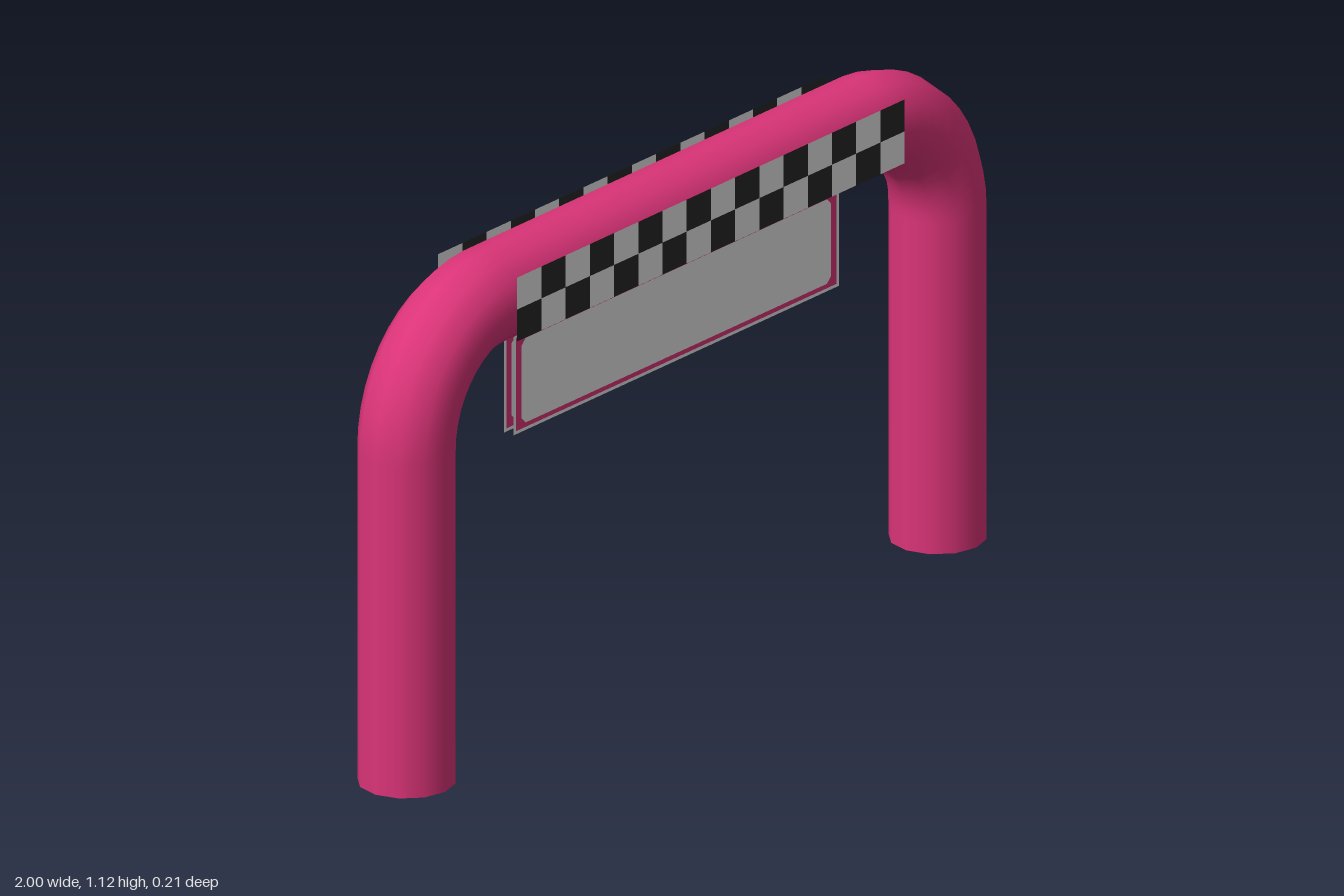
import * as THREE from 'three';
import { mergeGeometries } from 'three/addons/utils/BufferGeometryUtils.js';

const TUBE_R = 0.105, LEG_X = 0.895, BEAM_Y = 1.02, BEND = 0.265;

const material = (name, color) =>
  new THREE.MeshStandardMaterial({ name, color, side: THREE.DoubleSide });

const mesh = (name, geometry, mat) => {
  const m = new THREE.Mesh(geometry, mat);
  m.name = name;
  return m;
};

// Rectangle outline with optionally cut corners, centred on the origin
const rectPoints = (w, h, cut = 0) => {
  const x = w / 2, y = h / 2;
  if (!cut) return [[-x, -y], [x, -y], [x, y], [-x, y]].map(p => new THREE.Vector2(...p));
  return [[cut - x, -y], [x - cut, -y], [x, cut - y], [x, y - cut],
    [x - cut, y], [cut - x, y], [-x, y - cut], [-x, cut - y]].map(p => new THREE.Vector2(...p));
};

const flatRing = (outer, inner) => {
  const shape = new THREE.Shape(outer);
  if (inner) shape.holes.push(new THREE.Path(inner));
  return new THREE.ShapeGeometry(shape);
};

// Leg, bend, beam, bend, leg as one centre line
function archPath() {
  const v = (x, y) => new THREE.Vector3(x, y, 0);
  const low = BEAM_Y - BEND, inX = LEG_X - BEND, k = BEND * 0.5523;
  const path = new THREE.CurvePath();
  path.add(new THREE.LineCurve3(v(-LEG_X, 0), v(-LEG_X, low)));
  path.add(new THREE.CubicBezierCurve3(v(-LEG_X, low), v(-LEG_X, low + k), v(-inX - k, BEAM_Y), v(-inX, BEAM_Y)));
  path.add(new THREE.LineCurve3(v(-inX, BEAM_Y), v(inX, BEAM_Y)));
  path.add(new THREE.CubicBezierCurve3(v(inX, BEAM_Y), v(inX + k, BEAM_Y), v(LEG_X, low + k), v(LEG_X, low)));
  path.add(new THREE.LineCurve3(v(LEG_X, low), v(LEG_X, 0)));
  return path;
}

// All squares of one colour in the two-row checker strip
function checkerSquares(parity) {
  const cols = 16, w = 1.306 / cols, h = 0.0725, squares = [];
  for (let row = 0; row < 2; row++) {
    for (let col = 0; col < cols; col++) {
      if ((row + col) % 2 !== parity) continue;
      squares.push(new THREE.PlaneGeometry(w, h)
        .translate((col - cols / 2 + 0.5) * w, (row - 0.5) * h, 0));
    }
  }
  return mergeGeometries(squares);
}

export function createModel() {
  const pink = material('pink', 0xdb3478);
  const white = material('white', 0xeaeaea);
  const black = material('black', 0x262626);
  const model = new THREE.Group();
  model.name = 'finishArch';

  // Bent tube with closed feet
  model.add(mesh('archTube', new THREE.TubeGeometry(archPath(), 96, TUBE_R, 12, false), pink));
  for (const side of [-1, 1]) {
    const foot = mesh(side > 0 ? 'leftFoot' : 'rightFoot',
      new THREE.CircleGeometry(TUBE_R, 12).rotateX(Math.PI / 2), pink);
    foot.position.x = side * LEG_X;
    model.add(foot);
  }

  for (const side of [-1, 1]) {
    const label = side > 0 ? 'front' : 'back';

    // Checker strip on the beam; the same pattern along x on both faces
    const banner = new THREE.Group();
    banner.name = label + 'CheckerBanner';
    banner.position.set(-0.002, 1.022, side * 0.107);
    const faces = [['blackSquares', 0, black], ['whiteSquares', 1, white]];
    for (const [name, parity, mat] of faces) {
      const g = checkerSquares(parity);
      // Turned about the upright axis, 16 columns swap colours
      if (side < 0) g.scale(-1, 1, 1).rotateY(Math.PI);
      if (side < 0) g.computeVertexNormals();
      if (side < 0) { // face away from the beam
        const idx = g.index;
        for (let i = 0; i < idx.count; i += 3) {
          const a = idx.getX(i);
          idx.setX(i, idx.getX(i + 1));
          idx.setX(i + 1, a);
        }
        g.computeVertexNormals();
      }
      banner.add(mesh(name, g, mat));
    }
    model.add(banner);

    // Hanging sign: white rim, pink frame, white panel
    const sign = new THREE.Group();
    sign.name = label + 'Sign';
    sign.position.set(-0.002, 0.793, side * 0.013);
    if (side < 0) sign.rotation.y = Math.PI;
    const rim = rectPoints(1.096, 0.226);
    const frame = rectPoints(1.08, 0.212);
    const panel = rectPoints(1.044, 0.192, 0.014);
    sign.add(mesh('signRim', flatRing(rim, frame), white));
    sign.add(mesh('signFrame', flatRing(frame, panel), pink));
    sign.add(mesh('signPanel', flatRing(panel), white));
    model.add(sign);
  }
  return model;
}
